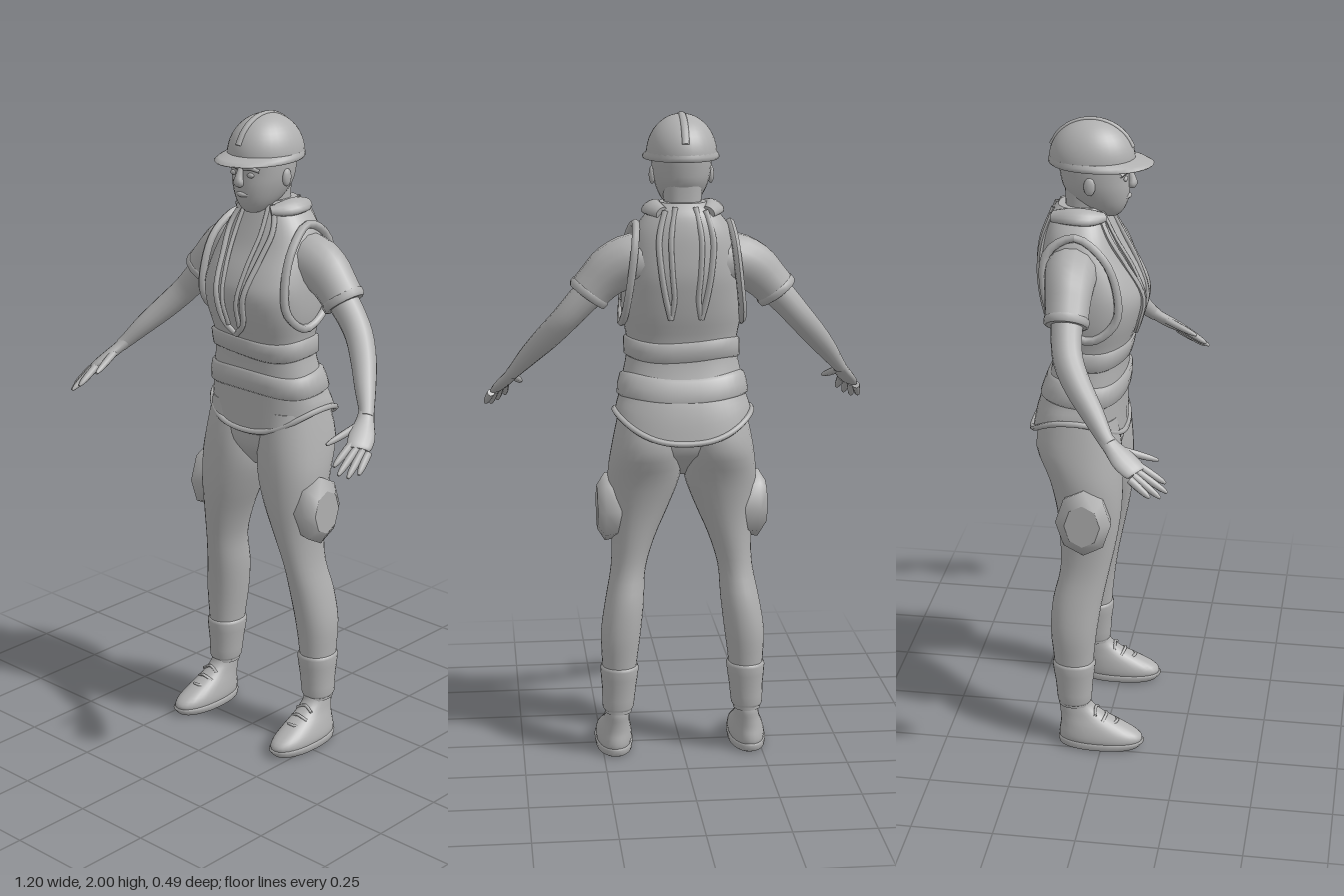
import * as THREE from 'three';

const V = (x, y, z) => new THREE.Vector3(x, y, z);
const POW = 2.4;

// Smoothly inserts rows between the given ones
function refine(rows, k) {
  const out = [], last = rows.length - 1;
  const at = i => rows[Math.min(last, Math.max(0, i))];
  for (let i = 0; i < last; i++) for (let s = 0; s < k; s++) {
    const t = s / k;
    out.push(rows[i].map((b, j) => {
      const a = at(i - 1)[j], c = at(i + 1)[j], d = at(i + 2)[j];
      return 0.5 * (2 * b + (c - a) * t + (2 * a - 5 * b + 4 * c - d) * t * t + (3 * b - a - 3 * c + d) * t ** 3);
    }));
  }
  out.push(rows[last]);
  return out;
}

// Skins rings of points and closes both ends
function loft(rings) {
  const n = rings[0].length, pos = [], idx = [];
  const add = p => pos.push(p.x, p.y, p.z) / 3 - 1;
  rings.forEach(r => r.forEach(add));
  for (let i = 0; i < rings.length - 1; i++) for (let j = 0; j < n; j++) {
    const a = i * n + j, b = i * n + (j + 1) % n;
    idx.push(a, b, b + n, a, b + n, a + n);
  }
  [rings[0], rings[rings.length - 1]].forEach((r, end) => {
    const first = r.map(add)[0];
    const mid = add(r.reduce((s, p) => s.add(p), V(0, 0, 0)).divideScalar(n));
    for (let j = 0; j < n; j++) {
      const a = first + j, b = first + (j + 1) % n;
      end ? idx.push(mid, a, b) : idx.push(mid, b, a);
    }
  });
  const g = new THREE.BufferGeometry();
  g.setAttribute('position', new THREE.Float32BufferAttribute(pos, 3));
  g.setIndex(idx);
  g.computeVertexNormals();
  return g;
}

// Level cross-section from a row [y, centreX, halfWidth, zFront, zBack]
const spow = (v, p) => Math.sign(v) * Math.abs(v) ** (2 / p);
function section([y, cx, hw, zf, zb], a, off = 0, p = POW) {
  return V(cx + (hw + off) * spow(Math.cos(a), p), y, (zf + zb) / 2 - ((zf - zb) / 2 + off) * spow(Math.sin(a), p));
}
function ring(n, f) { return Array.from({ length: n }, (_, j) => f(j / n * Math.PI * 2)); }
function stack(rows, k = 3, n = 28, p = POW) {
  return loft(refine(rows, k).map(r => ring(n, a => section(r, a, 0, p))));
}

// Limb along rows [x, y, z, radiusAlongRef, otherRadius]
function limb(rows, ref = V(0, 0, 1), k = 3, n = 14) {
  const pts = refine(rows, k), P = pts.map(r => V(r[0], r[1], r[2]));
  return loft(pts.map((r, i) => {
    const t = P[Math.min(i + 1, P.length - 1)].clone().sub(P[Math.max(i - 1, 0)]).normalize();
    const u = ref.clone().addScaledVector(t, -ref.dot(t)).normalize();
    const v = t.clone().cross(u);
    return ring(n, a => P[i].clone().addScaledVector(u, r[3] * Math.cos(a)).addScaledVector(v, r[4] * Math.sin(a)));
  }));
}
const cord = (pts, r, closed = false) =>
  new THREE.TubeGeometry(new THREE.CatmullRomCurve3(pts, closed), pts.length * 4, r, 6, closed);

function mirrored(g) {
  const m = g.clone().scale(-1, 1, 1), i = m.index.array;
  for (let k = 0; k < i.length; k += 3) [i[k], i[k + 1]] = [i[k + 1], i[k]];
  m.computeVertexNormals();
  return m;
}

// Torso profile
const torso = refine([
  [1.07, 0, .206, .045, -.24], [1.12, 0, .2, .045, -.225], [1.2, 0, .184, .048, -.19],
  [1.3, 0, .166, .055, -.17], [1.4, 0, .182, .088, -.192], [1.47, 0, .185, .1, -.205],
  [1.53, 0, .18, .08, -.212], [1.6, 0, .166, .04, -.208], [1.66, 0, .143, .012, -.2],
  [1.71, 0, .105, -.01, -.185], [1.74, 0, .07, -.025, -.16]], 4);
function torsoRow(y) {
  let i = 0;
  while (i < torso.length - 2 && torso[i + 1][0] < y) i++;
  const t = (y - torso[i][0]) / (torso[i + 1][0] - torso[i][0]);
  return torso[i].map((v, j) => v + (torso[i + 1][j] - v) * t);
}
// The hem dips at the front and back
function torsoPoint(row, a, off) {
  const p = section(row, a, off);
  p.y += .04 * Math.cos(2 * a) * THREE.MathUtils.clamp((1.15 - row[0]) / .08, 0, 1);
  return p;
}
function onTorso(x, y, dir, off) {
  const r = torsoRow(y), c = Math.min(1, Math.abs(x / r[2])) ** (POW / 2);
  const half = (r[3] - r[4]) / 2 * Math.sqrt(1 - c * c) ** (2 / POW);
  return V(x, y, (r[3] + r[4]) / 2 + dir * (half + off));
}

export function createModel() {
  const model = new THREE.Group();
  const grey = new THREE.MeshStandardMaterial({ color: 0xb0b0b0, side: THREE.DoubleSide });
  grey.name = 'plain grey';
  const add = (name, g) => {
    const m = new THREE.Mesh(g, grey);
    m.name = name;
    model.add(m);
  };
  const pair = (name, g) => { add(name + 'Left', g); add(name + 'Right', mirrored(g)); };

  // Vest: body, hem, waist bands
  add('vest', loft(torso.map(r => ring(40, a => torsoPoint(r, a, 0)))));
  add('vestHem', cord(ring(24, a => torsoPoint(torso[0], a, .002)), .009, true));
  [[1.15, 1.225], [1.265, 1.33]].forEach(([lo, hi], b) => {
    const rows = [0, .12, .5, .88, 1].map((t, i) => [torsoRow(lo + (hi - lo) * t), [-.004, .008, .011, .009, -.004][i]]);
    add('waistBand' + (b + 1), loft(rows.map(([r, o]) => ring(40, a => {
      const p = section(r, a, o);
      p.y += .006 * Math.sin(3 * a + b);
      return p;
    }))));
  });

  // Vest trims: lapels, back straps, armholes, shoulder collar
  const run = (pts, dir) => pts.map(([x, y]) => onTorso(x, y, dir, .004));
  pair('lapelOuter', cord(run([[.06, 1.73], [.085, 1.66], [.075, 1.58], [.055, 1.47], [.04, 1.38], [0, 1.34]], 1), .009));
  pair('lapelInner', cord(run([[.045, 1.73], [.05, 1.65], [.04, 1.55], [.028, 1.45], [.022, 1.37]], 1), .007));
  pair('backStrapOuter', cord(run([[.06, 1.72], [.08, 1.64], [.075, 1.55], [.06, 1.46], [.045, 1.4]], -1), .009));
  pair('backStrapInner', cord(run([[.03, 1.73], [.045, 1.64], [.042, 1.54], [.036, 1.46], [.045, 1.4]], -1), .008));
  pair('armholeTrim', cord([V(.142, 1.675, -.09), V(.158, 1.62, -.005), V(.165, 1.53, .035), V(.172, 1.43, .035),
    V(.182, 1.37, -.04), V(.175, 1.42, -.14), V(.16, 1.53, -.18), V(.148, 1.63, -.17)], .013, true));
  pair('shoulderCollar', limb([[.06, 1.715, -.015, .015, .012], [.09, 1.722, -.06, .03, .016],
    [.095, 1.725, -.11, .03, .016], [.07, 1.715, -.165, .02, .014]], V(1, -.6, 0)));

  // Head, neck and face
  add('neck', stack([[1.62, 0, .065, -.03, -.16], [1.7, 0, .056, -.03, -.14], [1.8, 0, .06, -.02, -.14]]));
  add('head', stack([[1.708, 0, .022, .018, -.03], [1.722, 0, .042, .032, -.06], [1.75, 0, .063, .046, -.11],
    [1.79, 0, .08, .052, -.143], [1.83, 0, .088, .051, -.154], [1.88, 0, .09, .052, -.16], [1.92, 0, .08, .04, -.15]], 3, 28, 2.1));
  add('nose', limb([[0, 1.855, .045, .008, .008], [0, 1.825, .056, .011, .012],
    [0, 1.805, .06, .017, .014], [0, 1.796, .052, .012, .008]], V(1, 0, 0)));
  add('lips', limb([[-.024, 1.766, .04, .004, .004], [0, 1.768, .05, .008, .008], [.024, 1.766, .04, .004, .004]], V(0, 1, 0)));
  pair('brow', cord([V(.012, 1.846, .05), V(.035, 1.85, .047), V(.058, 1.842, .032)], .006));
  pair('eye', new THREE.SphereGeometry(.011, 12, 8).scale(1.2, .7, .6).translate(.034, 1.828, .044));
  pair('ear', new THREE.SphereGeometry(.025, 12, 8).scale(.4, 1.1, .7).translate(.088, 1.815, -.055));

  // Hard hat: dome, brim, ridge
  const dome = new THREE.SphereGeometry(1, 32, 12, 0, Math.PI * 2, 0, Math.PI / 2);
  add('helmetDome', dome.scale(.106, .12, .128).translate(0, 1.876, -.06));
  add('helmetBrim', stack([[1.862, 0, .112, .118, -.185], [1.867, 0, .116, .123, -.19],
    [1.875, 0, .113, .105, -.19], [1.884, 0, .106, .07, -.187]], 1, 36, 2));
  add('helmetRidge', limb(Array.from({ length: 9 }, (_, i) => {
    const a = .35 + i / 8 * 2.44;
    return [0, 1.874 + .121 * Math.sin(a), -.06 + .129 * Math.cos(a), .011, .006];
  }), V(1, 0, 0), 2, 8));

  // Arms
  pair('sleeve', limb([[.09, 1.555, -.1, .085, .09], [.15, 1.565, -.1, .08, .082], [.21, 1.54, -.097, .072, .076],
    [.255, 1.5, -.094, .066, .066], [.287, 1.463, -.092, .064, .063]]));
  pair('sleeveCuff', limb([[.275, 1.477, -.092, .064, .063], [.278, 1.473, -.092, .068, .067],
    [.288, 1.462, -.092, .067, .066], [.291, 1.458, -.092, .06, .06]], undefined, 1));
  pair('arm', limb([[.25, 1.5, -.092, .05, .05], [.31, 1.437, -.088, .046, .045], [.36, 1.38, -.075, .044, .041],
    [.41, 1.322, -.038, .04, .038], [.46, 1.262, .012, .033, .031], [.5, 1.21, .052, .024, .022], [.512, 1.195, .066, .023, .02]]));

  // Hands
  const spread = V(-.06, .03, .03);
  pair('palm', limb([[.5, 1.21, .052, .023, .02], [.515, 1.188, .075, .027, .018], [.535, 1.16, .11, .038, .017],
    [.55, 1.138, .142, .037, .014], [.556, 1.13, .152, .03, .01]], spread));
  [[[.577, 1.12, .135], [.594, 1.075, .195]], [[.563, 1.127, .143], [.577, 1.068, .223]],
    [[.548, 1.134, .15], [.556, 1.076, .24]], [[.532, 1.142, .157], [.532, 1.094, .232]],
    [[.51, 1.18, .095], [.48, 1.14, .205]]].forEach(([a, b], i) => {
    const at = (t, r) => [...a.map((v, j) => v + (b[j] - v) * t), r, r];
    pair(i < 4 ? 'finger' + (i + 1) : 'thumb', limb([at(0, .012), at(.4, .0115), at(.8, .009), at(1, .004)], spread, 2, 8));
  });

  // Trousers
  add('hips', stack([[.9, 0, .03, -.02, -.09], [.95, 0, .09, .02, -.15], [1.0, 0, .17, .036, -.195], [1.1, 0, .19, .036, -.2]]));
  pair('leg', stack([[.14, .203, .042, -.04, -.14], [.3, .198, .054, -.03, -.155], [.4, .193, .062, -.02, -.165],
    [.5, .18, .06, -.005, -.16], [.6, .167, .054, .015, -.138], [.7, .15, .067, .035, -.14], [.8, .132, .092, .048, -.152],
    [.9, .117, .112, .05, -.178], [1.0, .108, .108, .045, -.218], [1.1, .1, .095, .03, -.2]], 3, 28, 2.1));
  pair('legCuff', stack([[.15, .203, .042, -.042, -.138], [.158, .203, .049, -.036, -.144],
    [.22, .2, .053, -.032, -.15], [.285, .198, .06, -.024, -.16], [.295, .198, .052, -.03, -.153]], 2, 28, 2.1));
  pair('thighPad', limb([[.19, .795, -.055, .1, .078], [.238, .795, -.055, .109, .086], [.262, .795, -.055, .07, .055]], V(0, 1, 0), 1, 8));

  // Shoes
  pair('shoe', stack([[.012, .212, .05, .115, -.13], [.03, .212, .056, .128, -.138], [.05, .211, .055, .115, -.138],
    [.075, .209, .049, .07, -.134], [.105, .206, .04, .01, -.135], [.135, .204, .036, -.03, -.138], [.16, .203, .034, -.04, -.132]], 3, 28, 2.2));
  pair('sole', stack([[0, .212, .05, .1, -.13], [.004, .212, .057, .118, -.137], [.022, .212, .06, .134, -.142], [.027, .212, .054, .125, -.137]], 1, 28, 2.2));
  [0, 1, 2].forEach(i => pair('lace' + (i + 1), cord([V(.178, .075 + i * .02, .025 - i * .022),
    V(.209, .09 + i * .02, .048 - i * .035), V(.238, .075 + i * .02, .025 - i * .022)], .005)));

  return model;
}
